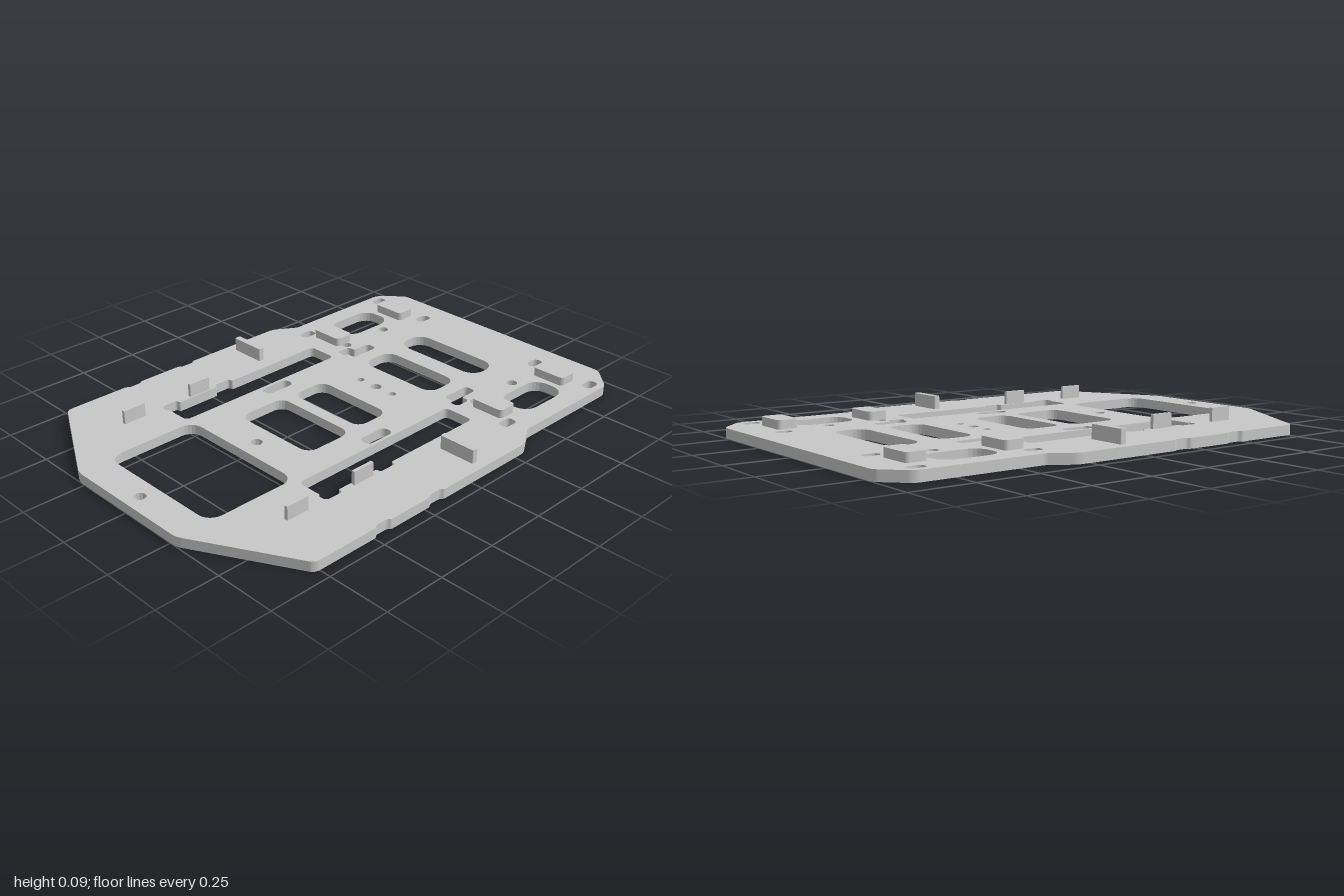
import * as THREE from 'three';

const PLATE_TOP = 0.04;

// Closed outline with rounded corners; points are [x, z, radius?]
function roundPoly(target, pts, radius) {
  const v = pts.map(p => new THREE.Vector2(p[0], -p[1]));
  const n = v.length, k = 0.55;
  v.forEach((p, i) => {
    const a = v[(i + n - 1) % n], b = v[(i + 1) % n];
    const r = Math.min(pts[i][2] ?? radius, p.distanceTo(a) / 2, p.distanceTo(b) / 2);
    const s = p.clone().add(a.clone().sub(p).setLength(r));
    const e = p.clone().add(b.clone().sub(p).setLength(r));
    if (i === 0) target.moveTo(s.x, s.y); else target.lineTo(s.x, s.y);
    const c1 = s.clone().lerp(p, k), c2 = e.clone().lerp(p, k);
    if (r > 0) target.bezierCurveTo(c1.x, c1.y, c2.x, c2.y, e.x, e.y);
  });
  target.closePath();
  return target;
}

// Corner lists run counter-clockwise in the shape plane
const rect = (x0, x1, z0, z1) => [[x0, z1], [x1, z1], [x1, z0], [x0, z0]];
const flip = pts => pts.map(([x, z, r]) => [-x, z, r]).reverse();

// Extrude a plan shape upwards from y0 to y1
function slab(shape, y0, y1) {
  const g = new THREE.ExtrudeGeometry(shape, { depth: y1 - y0, bevelEnabled: false, curveSegments: 6 });
  return g.rotateX(-Math.PI / 2).translate(0, y0, 0);
}

function buildPlate() {
  // Outline: right half from front to back, with two shallow edge notches
  const half = [
    [0.28, 1, 0.02], [0.703, 0.77, 0.02],
    [0.703, 0.493], [0.692, 0.48], [0.692, 0.43], [0.703, 0.417],
    [0.703, 0.225], [0.692, 0.212], [0.692, 0.162], [0.703, 0.149],
    [0.703, -0.3, 0.02], [0.643, -0.395, 0.01], [0.643, -0.905, 0.02], [0.545, -1, 0.02],
  ];
  const shape = roundPoly(new THREE.Shape(), [...half, ...flip(half)], 0.006);
  const hole = (pts, r) => shape.holes.push(roundPoly(new THREE.Path(), pts, r));
  const pair = (pts, r) => { hole(pts, r); hole(flip(pts), r); };
  const round = (x, z, r) => shape.holes.push(new THREE.Path().absarc(x, -z, r, 0, Math.PI * 2));

  // Central windows
  hole(rect(-0.212, 0.212, -0.733, -0.594), 0.06);
  hole(rect(-0.188, 0.188, -0.508, -0.355), 0.05);
  hole(rect(-0.182, 0.182, -0.11, 0.05), 0.045);
  hole(rect(-0.192, 0.192, 0.103, 0.32), 0.045);
  hole(rect(-0.288, 0.288, 0.48, 0.865), 0.055);

  // Rear side windows and small slots
  pair(rect(0.41, 0.558, -0.75, -0.502), 0.06);
  pair(rect(0.57, 0.615, -0.903, -0.835), 0.02);
  pair(rect(0.294, 0.338, -0.903, -0.835), 0.02);
  pair(rect(0.537, 0.58, -0.415, -0.347), 0.015);
  pair(rect(0.252, 0.304, -0.015, 0.12), 0.022);

  // Stepped slots
  pair([[0.253, -0.365], [0.293, -0.365, 0.006], [0.293, -0.347], [0.338, -0.347],
    [0.338, -0.415], [0.303, -0.415, 0.006], [0.303, -0.497], [0.253, -0.497]], 0.016);

  // Long side windows with outward notches
  pair([[0.318, 0.485], [0.425, 0.485, 0.004], [0.43, 0.495], [0.467, 0.495],
    [0.467, 0.417], [0.447, 0.417, 0.008], [0.447, 0.225, 0.008], [0.467, 0.225],
    [0.467, 0.149], [0.447, 0.149, 0.008], [0.447, -0.302], [0.318, -0.302]], 0.02);

  // Screw holes
  for (const z of [-0.236, 0.404, 0.937]) round(0, z, 0.023);
  for (const s of [-1, 1]) {
    round(s * 0.088, -0.236, 0.016);
    round(s * 0.362, -0.656, 0.022);
    round(s * 0.362, -0.426, 0.022);
  }
  return slab(shape, 0, PLATE_TOP);
}

export function createModel() {
  const model = new THREE.Group();
  const grey = new THREE.MeshStandardMaterial({ color: 0xc8c8c8 });
  grey.name = 'plate grey';

  const add = (name, geometry) => {
    const mesh = new THREE.Mesh(geometry, grey);
    mesh.name = name;
    model.add(mesh);
  };
  add('basePlate', buildPlate());

  // Raised parts, mirrored: name, x0, x1, z0, z1, top, corner radius
  const raised = [
    ['rearBlock', 0.375, 0.523, -0.863, -0.776, 0.075, 0.018],
    ['middleBlock', 0.375, 0.523, -0.472, -0.385, 0.075, 0.018],
    ['sideTab', 0.505, 0.662, -0.078, -0.051, 0.095, 0.006],
    ['innerFin', 0.453, 0.467, 0.262, 0.357, 0.095, 0],
    ['frontFin', 0.453, 0.467, 0.578, 0.674, 0.095, 0],
  ];
  for (const [name, x0, x1, z0, z1, top, r] of raised) {
    for (const [side, s] of [['Left', 1], ['Right', -1]]) {
      const pts = rect(x0, x1, z0, z1);
      const shape = roundPoly(new THREE.Shape(), s > 0 ? pts : flip(pts), r);
      add(name + side, slab(shape, PLATE_TOP, top));
    }
  }
  return model;
}
